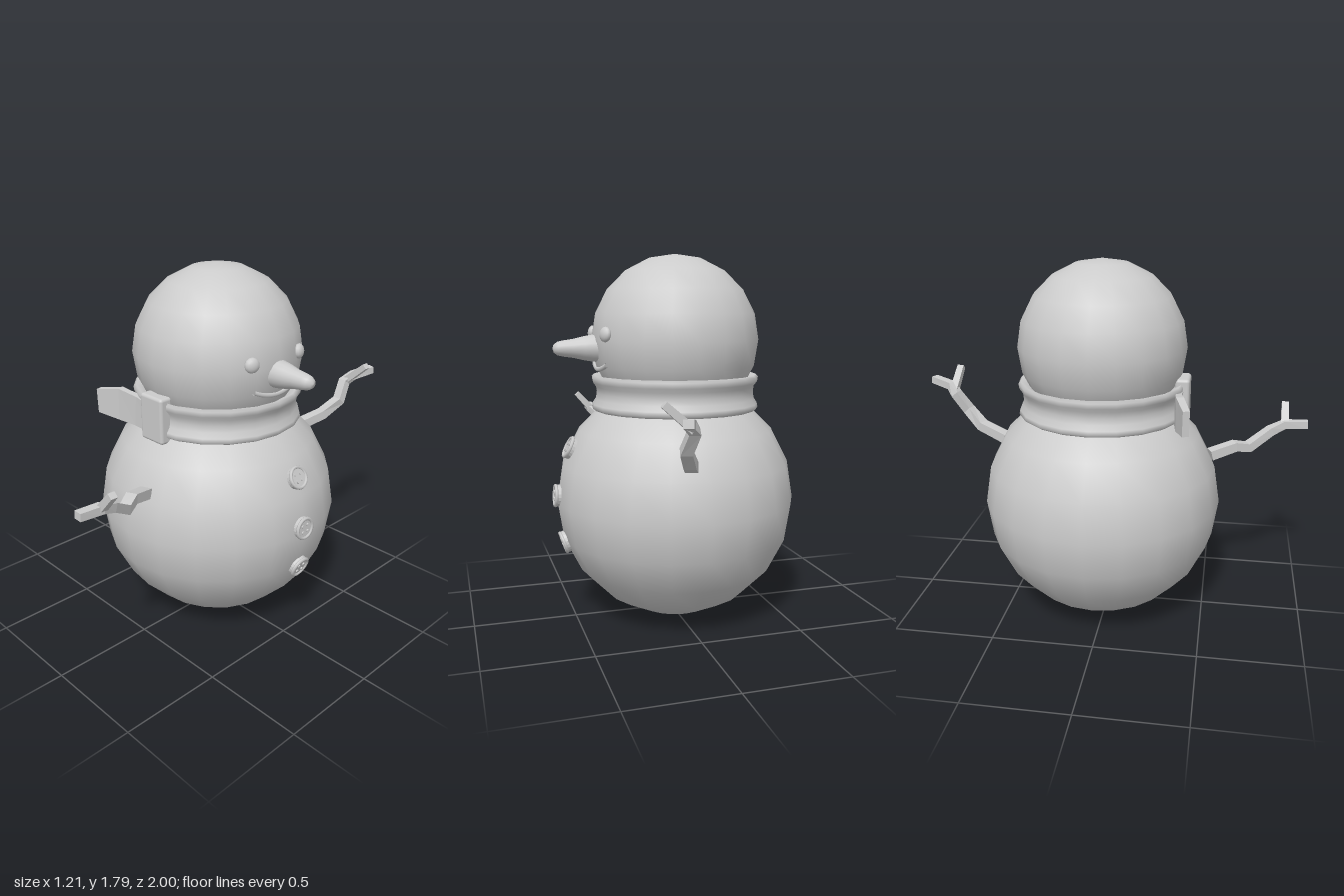
import * as THREE from 'three';
import { RoundedBoxGeometry } from 'three/addons/geometries/RoundedBoxGeometry.js';

const V = (x, y, z) => new THREE.Vector3(x, y, z);
const smooth = new THREE.MeshStandardMaterial({ color: 0xcccccc });
const flat = new THREE.MeshStandardMaterial({ color: 0xcccccc, flatShading: true });
const thin = new THREE.MeshStandardMaterial({ color: 0xcccccc, side: THREE.DoubleSide });

const CX = -0.01, CZ = -0.028;
const bodyCentre = V(CX, 0.595, CZ), bodyR = 0.593;
const headCentre = V(CX, 1.38, CZ), headR = 0.411;

function add(parent, name, geometry, material = smooth) {
  const mesh = new THREE.Mesh(geometry, material);
  mesh.name = name;
  parent.add(mesh);
  return mesh;
}

// Front (+x) point of a ball at the given height and depth
function onBall(c, r, y, z) {
  return V(c.x + Math.sqrt(r * r - (y - c.y) ** 2 - (z - c.z) ** 2), y, z);
}

// Group sitting on a ball, with its local +y pointing outward
function seat(parent, name, c, r, y, z) {
  const g = new THREE.Group();
  g.name = name;
  g.position.copy(onBall(c, r, y, z));
  g.quaternion.setFromUnitVectors(V(0, 1, 0), g.position.clone().sub(c).normalize());
  parent.add(g);
  return g;
}

// Four-sided bar along a path; sizes are [half width, half height] per point
function bar(points, sizes) {
  const pos = [], index = [];
  points.forEach((p, i) => {
    const t = points[Math.min(i + 1, points.length - 1)].clone()
      .sub(points[Math.max(i - 1, 0)]).normalize();
    const a = V(0, 1, 0).cross(t).normalize();
    const b = t.clone().cross(a);
    const [w, h] = sizes[i];
    for (const [u, v] of [[1, -1], [1, 1], [-1, 1], [-1, -1]]) {
      pos.push(...p.clone().addScaledVector(a, u * w).addScaledVector(b, v * h).toArray());
    }
  });
  for (let i = 0; i < points.length - 1; i++) {
    for (let j = 0; j < 4; j++) {
      const k = (j + 1) % 4, o = i * 4, n = o + 4;
      index.push(o + j, o + k, n + k, o + j, n + k, n + j);
    }
  }
  const e = (points.length - 1) * 4;
  index.push(0, 2, 1, 0, 3, 2, e, e + 1, e + 2, e, e + 2, e + 3);
  const g = new THREE.BufferGeometry();
  g.setAttribute('position', new THREE.Float32BufferAttribute(pos, 3));
  g.setIndex(index);
  const out = g.toNonIndexed();
  out.computeVertexNormals();
  return out;
}

function addArm(parent, name, path, twig) {
  const g = new THREE.Group();
  g.name = name;
  add(g, 'branch', bar(path, path.map((p, i) => {
    const s = 0.029 - 0.0015 * i;
    return [s, s * 0.85];
  })), flat);
  add(g, 'twig', bar(twig, [[0.02, 0.018], [0.017, 0.015]]), flat);
  parent.add(g);
}

export function createModel() {
  const model = new THREE.Group();
  model.name = 'snowman';

  // Snowballs
  add(model, 'body', new THREE.SphereGeometry(bodyR, 20, 10)).position.copy(bodyCentre);
  add(model, 'head', new THREE.SphereGeometry(headR, 20, 10)).position.copy(headCentre);

  // Scarf band with rolled edges
  const band = [[0.36, 1.05], [0.395, 1.038], [0.412, 1.05], [0.408, 1.07], [0.392, 1.095],
    [0.388, 1.125], [0.392, 1.155], [0.408, 1.175], [0.412, 1.2], [0.4, 1.212], [0.36, 1.19]];
  add(model, 'scarfBand', new THREE.LatheGeometry(
    band.map(([r, y]) => new THREE.Vector2(r, y)), 20), thin).position.set(CX, 0, CZ);

  // Scarf knot and loose end
  add(model, 'scarfKnot', new RoundedBoxGeometry(0.15, 0.225, 0.07, 3, 0.015))
    .position.set(-0.01, 1.125, 0.367);
  add(model, 'scarfEnd', bar(
    [V(-0.04, 1.105, 0.36), V(-0.16, 1.115, 0.355), V(-0.27, 1.125, 0.37), V(-0.395, 1.12, 0.407)],
    [[0.014, 0.068], [0.016, 0.075], [0.018, 0.08], [0.016, 0.06]]), flat);

  // Carrot nose
  const carrot = [[0.07, 0], [0.064, 0.06], [0.057, 0.1], [0.045, 0.15], [0.038, 0.2],
    [0.032, 0.225], [0.02, 0.242], [0, 0.248]];
  const nose = add(model, 'nose', new THREE.LatheGeometry(
    carrot.map(([r, y]) => new THREE.Vector2(r, y)), 16));
  nose.position.set(0.343, 1.343, -0.025);
  nose.rotation.z = -Math.PI / 2;

  // Eyes
  for (const [name, z] of [['leftEye', -0.183], ['rightEye', 0.13]]) {
    const eye = seat(model, name, headCentre, headR, 1.412, z);
    const bead = add(eye, 'bead', new THREE.SphereGeometry(0.036, 14, 8));
    bead.scale.y = 0.65;
  }

  // Smile lying on the head
  const smile = [];
  for (let i = 0; i <= 8; i++) {
    const u = i / 4 - 1;
    smile.push(onBall(headCentre, headR, 1.243 + 0.03 * u * u - 0.004 * u, CZ - u * 0.137));
  }
  add(model, 'mouth', new THREE.TubeGeometry(new THREE.CatmullRomCurve3(smile), 24, 0.011, 6), thin);

  // Buttons with raised rim and four studs
  [[0.865, -0.03], [0.63, -0.016], [0.4, -0.032]].forEach(([y, z], n) => {
    const button = seat(model, 'button' + (n + 1), bodyCentre, bodyR, y, z);
    add(button, 'disc', new THREE.CylinderGeometry(0.054, 0.054, 0.024, 20), flat);
    const rim = add(button, 'rim', new THREE.TorusGeometry(0.049, 0.009, 6, 20));
    rim.rotation.x = Math.PI / 2;
    rim.position.y = 0.01;
    for (let i = 0; i < 4; i++) {
      const a = Math.PI / 4 + i * Math.PI / 2;
      const stud = add(button, 'stud', new THREE.CylinderGeometry(0.008, 0.008, 0.008, 8));
      stud.position.set(0.023 * Math.cos(a), 0.014, 0.023 * Math.sin(a));
    }
  });

  // Branch arms
  addArm(model, 'rightArm',
    [V(0.07, 0.815, 0.51), V(0.12, 0.85, 0.63), V(0.16, 0.835, 0.7), V(0.215, 0.91, 0.81),
      V(0.24, 0.94, 0.88), V(0.237, 0.945, 0.995)],
    [V(0.235, 0.93, 0.88), V(0.325, 1.03, 0.88)]);
  addArm(model, 'leftArm',
    [V(0.07, 0.845, -0.55), V(0.125, 0.89, -0.7), V(0.17, 0.96, -0.785), V(0.155, 1.05, -0.845),
      V(0.185, 1.085, -0.88), V(0.227, 1.105, -0.99)],
    [V(0.165, 1.06, -0.86), V(0.285, 1.165, -0.855)]);

  return model;
}
